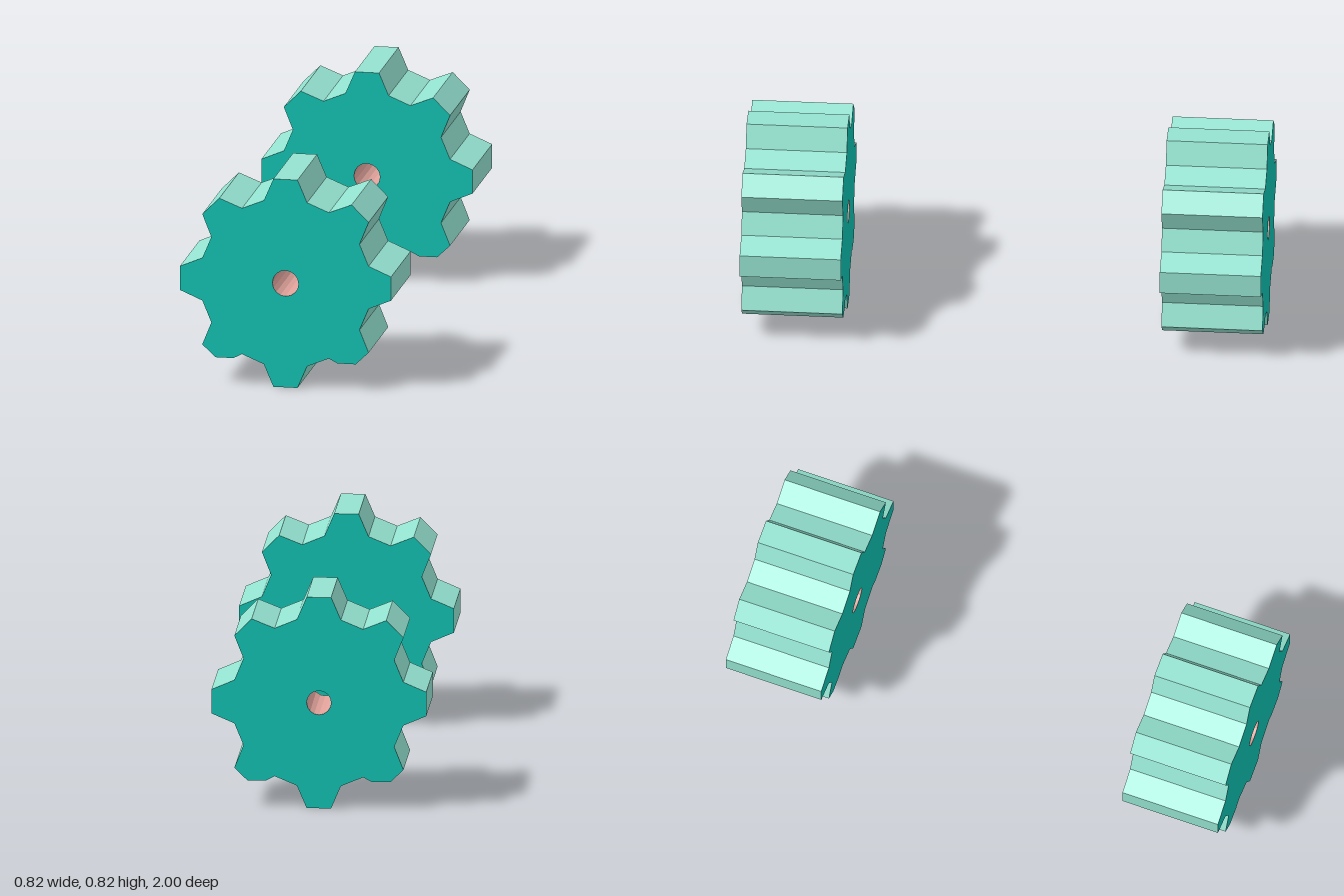
import * as THREE from 'three';

const TEETH = 8, CENTER_Y = 0.4125, TIP_R = 0.4145, ROOT_R = 0.335;
const TIP_A = 6.5, ROOT_A = 14.6; // half angles of a tooth in degrees
const Z_BACK = -0.194, Z_FRONT = 0.194;

const polar = (r, deg) =>
  new THREE.Vector2(r * Math.cos(deg * Math.PI / 180), r * Math.sin(deg * Math.PI / 180));

// Counter-clockwise gear outline; the two lower diagonal teeth have a flat cut
function gearOutline() {
  const pts = [];
  const cutY = 0.106 - CENTER_Y;
  for (let i = 0; i < TEETH; i++) {
    const a = i * 360 / TEETH;
    pts.push(polar(ROOT_R, a - ROOT_A));
    if (i === 7) pts.push(new THREE.Vector2(0.203, cutY), new THREE.Vector2(0.274, cutY));
    else pts.push(polar(TIP_R, a - TIP_A));
    if (i === 5) pts.push(new THREE.Vector2(-0.274, cutY), new THREE.Vector2(-0.203, cutY));
    else pts.push(polar(TIP_R, a + TIP_A));
    pts.push(polar(ROOT_R, a + ROOT_A));
  }
  return pts;
}

function circle(r, n = 16) {
  return Array.from({ length: n }, (_, i) => polar(r, i * 360 / n));
}

// Flat-shaded wall joining a back ring to a front ring
function wall(back, front) {
  const pos = [];
  const n = back.length;
  for (let i = 0; i < n; i++) {
    const j = (i + 1) % n;
    const ab = [back[i].x, back[i].y, Z_BACK], bb = [back[j].x, back[j].y, Z_BACK];
    const af = [front[i].x, front[i].y, Z_FRONT], bf = [front[j].x, front[j].y, Z_FRONT];
    pos.push(...ab, ...bb, ...bf, ...ab, ...bf, ...af);
  }
  const g = new THREE.BufferGeometry();
  g.setAttribute('position', new THREE.Float32BufferAttribute(pos, 3));
  g.computeVertexNormals();
  return g;
}

export function createModel() {
  const model = new THREE.Group();
  model.name = 'gearPair';

  const faceMat = new THREE.MeshStandardMaterial({ color: 0x0fbfb0, side: THREE.DoubleSide });
  const toothMat = new THREE.MeshStandardMaterial({ color: 0x94e2d0 });
  const boreMat = new THREE.MeshStandardMaterial({ color: 0xe0a29b });

  const outline = gearOutline();
  const boreFront = circle(0.051), boreBack = circle(0.047);

  // End face with the shaft hole
  const face = (hole) => {
    const shape = new THREE.Shape(outline);
    shape.holes.push(new THREE.Path(hole));
    return new THREE.ShapeGeometry(shape);
  };
  const parts = [
    ['frontFace', face(boreFront).translate(0, 0, Z_FRONT), faceMat],
    ['backFace', face(boreBack).translate(0, 0, Z_BACK), faceMat],
    ['teeth', wall(outline, outline), toothMat],
    ['bore', wall([...boreBack].reverse(), [...boreFront].reverse()), boreMat],
  ];

  // Two identical gears on one axis
  for (const [name, z] of [['frontGear', 0.806], ['backGear', -0.806]]) {
    const gear = new THREE.Group();
    gear.name = name;
    gear.position.set(0, CENTER_Y, z);
    for (const [partName, geometry, material] of parts) {
      const mesh = new THREE.Mesh(geometry, material);
      mesh.name = partName;
      gear.add(mesh);
    }
    model.add(gear);
  }
  return model;
}
